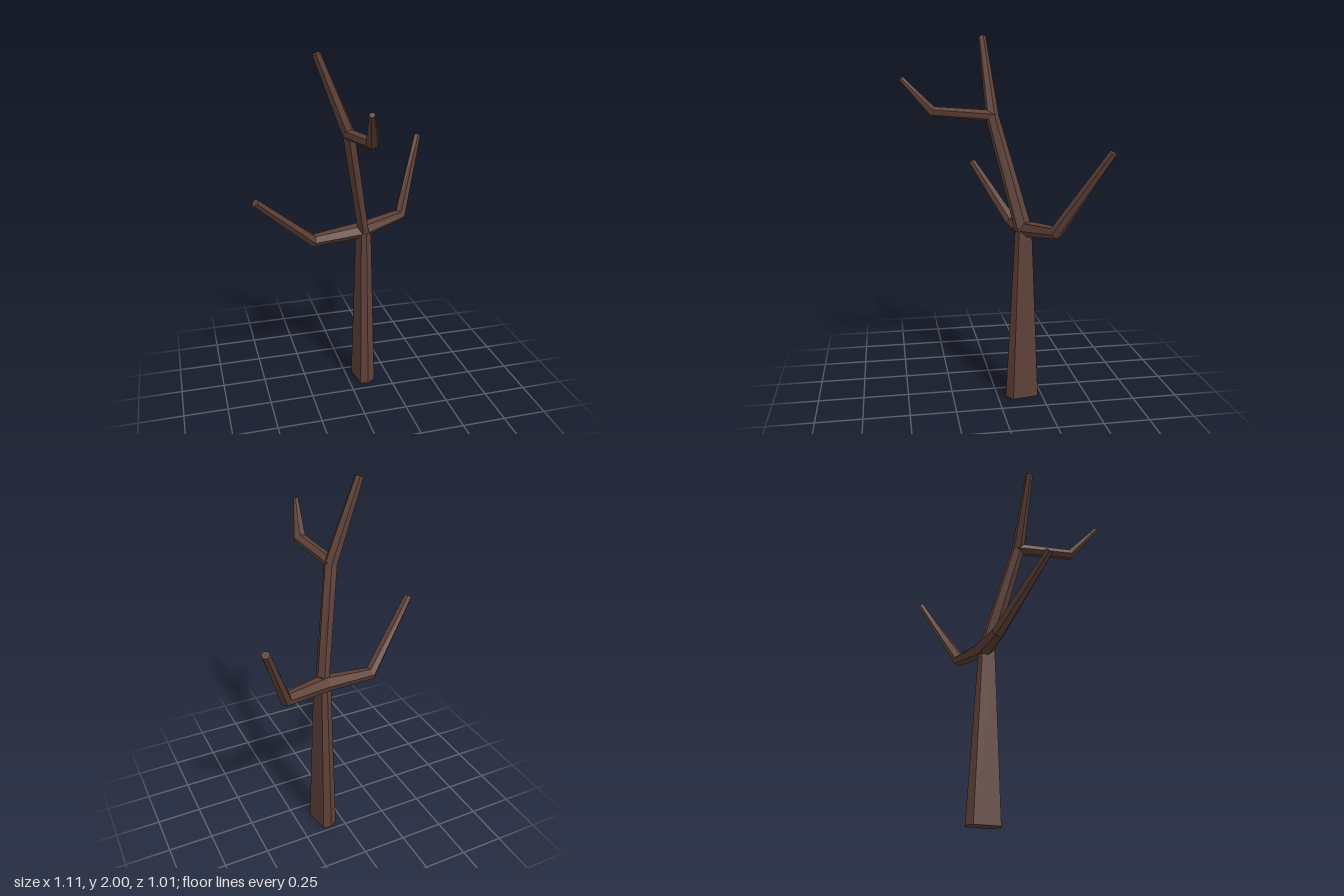
import * as THREE from 'three';

const SIDES = 6;
const v = (p) => new THREE.Vector3(p[0], p[1], p[2]);

// Skin a list of six-point rings (counter-clockwise about the growth direction), closed at both ends
function skin(name, rings, material) {
  const pos = [];
  const tri = (...pts) => pts.forEach((p) => pos.push(p.x, p.y, p.z));
  for (let r = 0; r < rings.length - 1; r++) {
    for (let i = 0; i < SIDES; i++) {
      const j = (i + 1) % SIDES;
      const a = rings[r], b = rings[r + 1];
      tri(a[i], a[j], b[j]);
      tri(a[i], b[j], b[i]);
    }
  }
  const first = rings[0], last = rings[rings.length - 1];
  for (let i = 1; i < SIDES - 1; i++) {
    tri(first[0], first[i + 1], first[i]);
    tri(last[0], last[i], last[i + 1]);
  }
  const geometry = new THREE.BufferGeometry();
  geometry.setAttribute('position', new THREE.Float32BufferAttribute(pos, 3));
  geometry.computeVertexNormals();
  const mesh = new THREE.Mesh(geometry, material);
  mesh.name = name;
  return mesh;
}

// Rings along a bent path; radii are [sideways, up] at each point, ref is the rough "up" of the section
function limb(name, path, radii, ref, phase, material) {
  const pts = path.map(v);
  const rings = pts.map((p, k) => {
    const t = new THREE.Vector3();
    if (k > 0) t.add(p.clone().sub(pts[k - 1]).normalize());
    if (k < pts.length - 1) t.add(pts[k + 1].clone().sub(p).normalize());
    t.normalize();
    const side = t.clone().cross(ref).normalize();
    const up = t.clone().cross(side);
    return Array.from({ length: SIDES }, (_, i) => {
      const a = phase + (i / SIDES) * Math.PI * 2;
      return p.clone()
        .addScaledVector(side, radii[k][0] * Math.cos(a))
        .addScaledVector(up, radii[k][1] * Math.sin(a));
    });
  });
  return skin(name, rings, material);
}

export function createModel() {
  const tree = new THREE.Group();
  tree.name = 'bareTree';
  const bark = new THREE.MeshStandardMaterial({ color: 0x5d4037, flatShading: true });
  bark.name = 'brown bark';
  const Y = new THREE.Vector3(0, 1, 0), Z = new THREE.Vector3(0, 0, 1);

  // Trunk: a long, skewed hexagon that tapers upwards
  const foot = [[0.035, -0.085], [-0.01, -0.095], [-0.056, -0.06], [-0.035, 0.085], [0.01, 0.095], [0.058, 0.06]];
  const trunkRing = (y, sx, sz) => foot.map(([x, z]) => new THREE.Vector3(0.097 + x * sx, y, -0.141 + z * sz));
  tree.add(skin('trunk', [trunkRing(0, 1, 1), trunkRing(0.96, 0.66, 0.5)], bark));

  // Leader rising from the fork
  tree.add(limb('leader',
    [[0.105, 0.93, -0.15], [-0.025, 1.565, 0.01], [-0.198, 1.99, 0.04]],
    [[0.034, 0.048], [0.037, 0.036], [0.024, 0.021]], Z, 0.2, bark));

  // Two side branches leaving the fork
  tree.add(limb('leftBranch',
    [[0.08, 0.965, -0.155], [0.357, 1.002, -0.257], [0.535, 1.425, -0.485]],
    [[0.055, 0.045], [0.036, 0.036], [0.021, 0.021]], Y, 0.15, bark));
  tree.add(limb('rightBranch',
    [[0.12, 0.97, -0.16], [-0.2, 0.94, -0.135], [-0.537, 1.255, 0.053]],
    [[0.058, 0.045], [0.036, 0.037], [0.022, 0.023]], Y, -0.15, bark));

  // Small branch reaching forward from the bend in the leader
  tree.add(limb('frontBranch',
    [[-0.03, 1.57, 0.0], [0.002, 1.598, 0.335], [-0.047, 1.767, 0.492]],
    [[0.038, 0.03], [0.037, 0.029], [0.015, 0.015]], Y, 0.35, bark));

  return tree;
}
